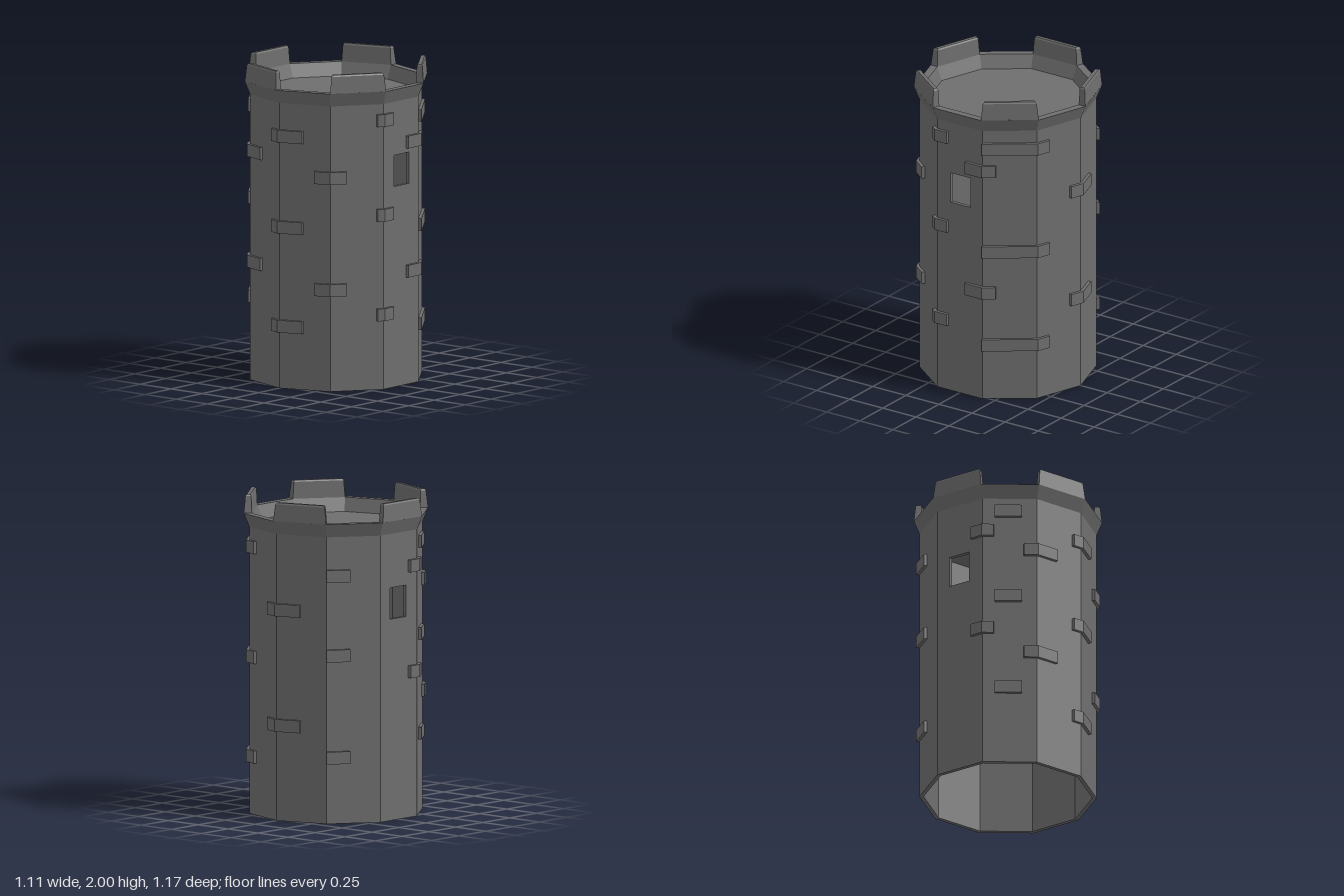
import * as THREE from 'three';

const SIDES = 10, STEP = (2 * Math.PI) / SIDES, HALF = STEP / 2;
const R = 0.55, WALL = 0.025, WALL_TOP = 1.8, RIM_TOP = 1.885;
const APOTHEM = R * Math.cos(HALF), HALF_SIDE = R * Math.sin(HALF);
const stone = new THREE.MeshStandardMaterial({ color: 0x6e6e6e, flatShading: true });

function addMesh(parent, name, geometry) {
  const mesh = new THREE.Mesh(geometry, stone);
  mesh.name = name;
  parent.add(mesh);
  return mesh;
}

// Wall panel with mitred ends; windowX = [min, max] cuts a window
function wallPanel(windowX) {
  const s = new THREE.Shape();
  s.moveTo(-HALF_SIDE, 0).lineTo(HALF_SIDE, 0).lineTo(HALF_SIDE, WALL_TOP).lineTo(-HALF_SIDE, WALL_TOP).closePath();
  if (windowX) {
    const [a, b] = windowX, h = new THREE.Path();
    h.moveTo(a, 1.265).lineTo(a, 1.462).lineTo(b, 1.462).lineTo(b, 1.265).closePath();
    s.holes.push(h);
  }
  const g = new THREE.ExtrudeGeometry(s, { depth: WALL, bevelEnabled: false });
  g.translate(0, 0, APOTHEM - WALL);
  const p = g.attributes.position;
  for (let i = 0; i < p.count; i++) {
    if (Math.abs(p.getX(i)) > HALF_SIDE - 1e-4) p.setX(i, Math.sign(p.getX(i)) * p.getZ(i) * Math.tan(HALF));
  }
  g.computeVertexNormals();
  return g;
}

// Tapered merlon with a chamfered top; each ring: y, outer z, outer half width, inner z, inner half width
function merlonGeometry() {
  const rings = [
    [RIM_TOP, 0.556, 0.18, 0.508, 0.165],
    [1.99, 0.548, 0.168, 0.513, 0.158],
    [2.0, 0.542, 0.16, 0.519, 0.153],
  ];
  const g = new THREE.BoxGeometry(2, 2, 2, 1, 2, 1);
  const p = g.attributes.position;
  for (let i = 0; i < p.count; i++) {
    const [y, zo, wo, zi, wi] = rings[Math.round(p.getY(i)) + 1];
    const outer = p.getZ(i) > 0;
    p.setXYZ(i, Math.sign(p.getX(i)) * (outer ? wo : wi), y, outer ? zo : zi);
  }
  g.computeVertexNormals();
  return g;
}

// Point on the ten-sided outline; u counts corners, u = 0 at +z, growing towards +x
function outline(u, radius) {
  const k = Math.floor(u), f = u - k;
  const at = (c, fn) => radius * fn(c * STEP);
  return [
    at(k, Math.sin) * (1 - f) + at(k + 1, Math.sin) * f,
    at(k, Math.cos) * (1 - f) + at(k + 1, Math.cos) * f,
  ];
}

// Raised stone that follows the outline from u0 to u1, bending at corners
function brickGeometry(u0, u1, y) {
  const us = [u0];
  for (let c = Math.floor(u0) + 1; c < u1; c++) us.push(c);
  us.push(u1);
  const pos = [], idx = [], h = 0.039;
  for (const u of us) {
    const [ox, oz] = outline(u, R + 0.021), [ix, iz] = outline(u, R - 0.01);
    pos.push(ox, y - h, oz, ox, y + h, oz, ix, y + h, iz, ix, y - h, iz);
  }
  for (let s = 0; s < us.length - 1; s++) {
    for (let j = 0; j < 4; j++) {
      const a = s * 4 + j, b = s * 4 + ((j + 1) % 4);
      idx.push(a, a + 4, b + 4, a, b + 4, b);
    }
  }
  const e = (us.length - 1) * 4;
  idx.push(0, 1, 2, 0, 2, 3, e, e + 2, e + 1, e, e + 3, e + 2);
  const g = new THREE.BufferGeometry();
  g.setAttribute('position', new THREE.Float32BufferAttribute(pos, 3));
  g.setIndex(idx);
  const flat = g.toNonIndexed();
  flat.computeVertexNormals();
  return flat;
}

export function createModel() {
  const tower = new THREE.Group();
  tower.name = 'tower';

  // Hollow wall, with a window in the left and right sides
  const walls = new THREE.Group();
  walls.name = 'walls';
  tower.add(walls);
  const windows = { 2: [-0.069, 0.079], 7: [-0.079, 0.069] };
  for (let k = 0; k < SIDES; k++) {
    addMesh(walls, 'wallPanel', wallPanel(windows[k])).rotation.y = (k + 0.5) * STEP;
  }

  // Flared rim and roof floor
  const profile = [
    [0, 1.78], [0.53, 1.78], [R, WALL_TOP], [0.585, RIM_TOP],
    [0.535, RIM_TOP], [0.5, WALL_TOP], [0, WALL_TOP],
  ].map(([x, y]) => new THREE.Vector2(x, y));
  addMesh(tower, 'rimAndFloor', new THREE.LatheGeometry(profile, SIDES));

  // Merlons on every second side
  const merlons = new THREE.Group();
  merlons.name = 'merlons';
  tower.add(merlons);
  const merlon = merlonGeometry();
  for (let k = 1; k < SIDES; k += 2) {
    addMesh(merlons, 'merlon', merlon).rotation.y = (k + 0.5) * STEP;
  }

  // Raised stones: start, end, heights
  const bricks = new THREE.Group();
  bricks.name = 'raisedStones';
  tower.add(bricks);
  const rows = [
    [-0.2, 0.47, [1.592, 1.018, 0.393]],
    [-1.25, -0.57, [1.45, 0.75]],
    [0.7, 1.3, [1.347, 0.64]],
    [-1.77, -1.29, [1.712, 1.133, 0.508]],
    [-2.24, -1.79, [1.58, 0.915]],
    [1.87, 2.25, [1.698, 1.1, 0.473]],
    [2.64, 3.25, [1.53, 0.715]],
    [3, 4.26, [1.68, 0.99, 0.365]],
    [4.74, 5.48, [1.325, 0.6]],
    [6, 6.43, [1.555, 1.055, 0.415]],
  ];
  for (const [u0, u1, heights] of rows) {
    for (const y of heights) addMesh(bricks, 'raisedStone', brickGeometry(u0, u1, y));
  }
  return tower;
}
